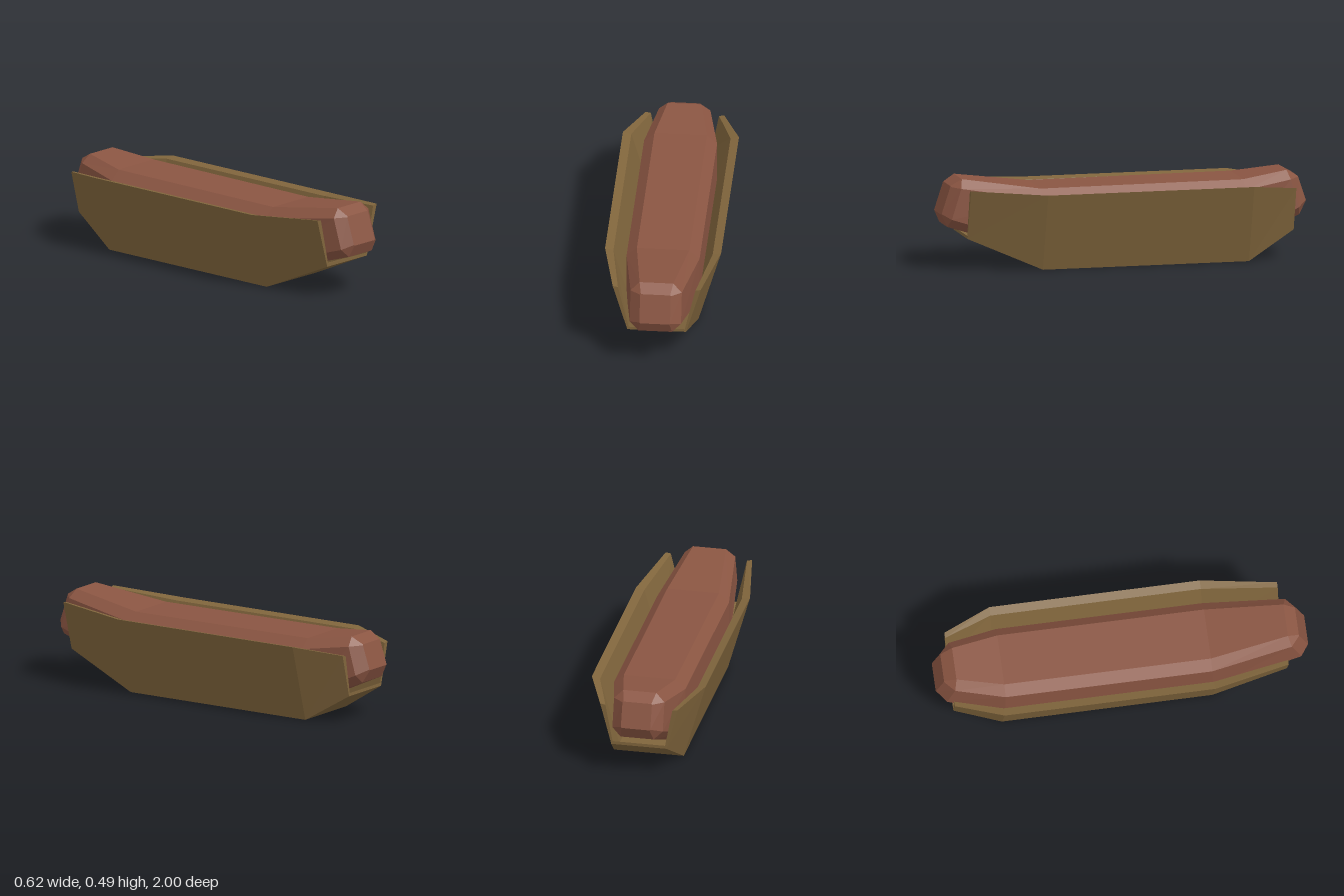
import * as THREE from 'three';

// Skins counter-clockwise sections ordered from front (+z) to back, and caps both ends.
function loft(name, rings, color) {
  const pos = [];
  const tri = (...pts) => pts.forEach((p) => pos.push(p.x, p.y, p.z));
  for (let i = 0; i < rings.length - 1; i++) {
    const n = rings[i].length;
    for (let j = 0; j < n; j++) {
      const k = (j + 1) % n;
      const a = rings[i][j], b = rings[i][k], c = rings[i + 1][k], d = rings[i + 1][j];
      tri(a, d, c);
      tri(a, c, b);
    }
  }
  const cap = (ring, back) => {
    const flat = ring.map((p) => new THREE.Vector2(p.x, p.y));
    for (const [a, b, c] of THREE.ShapeUtils.triangulateShape(flat, [])) {
      if (back) tri(ring[a], ring[c], ring[b]);
      else tri(ring[a], ring[b], ring[c]);
    }
  };
  cap(rings[0], false);
  cap(rings[rings.length - 1], true);
  const geo = new THREE.BufferGeometry();
  geo.setAttribute('position', new THREE.Float32BufferAttribute(pos, 3));
  geo.computeVertexNormals();
  const mesh = new THREE.Mesh(geo, new THREE.MeshStandardMaterial({ color, flatShading: true }));
  mesh.name = name;
  return mesh;
}

// U-shaped bun section: outer and inner corners as [x, y], mirrored across x.
function bunSection(z, outBottom, outTop, inTop, inBottom) {
  const v = ([x, y], s) => new THREE.Vector3(s * x, y, z);
  return [
    v(outTop, -1), v(outBottom, -1), v(outBottom, 1), v(outTop, 1),
    v(inTop, 1), v(inBottom, 1), v(inBottom, -1), v(inTop, -1),
  ];
}

// Bevelled rectangle, tilted so its top and bottom sit at different z.
function sausageSection(w, y0, y1, cx, cy, zBottom, zTop) {
  const right = [[w - cx, y0], [w, y0 + cy], [w, y1 - cy], [w - cx, y1]];
  const left = right.map(([x, y]) => [-x, y]).reverse();
  return [...right, ...left].map(([x, y]) =>
    new THREE.Vector3(x, y, THREE.MathUtils.mapLinear(y, y0, y1, zBottom, zTop)));
}

export function createModel() {
  const group = new THREE.Group();
  group.name = 'sausageInBun';

  // Open bun with tapered, upswept ends
  group.add(loft('bun', [
    bunSection(0.875, [0.157, 0.177], [0.235, 0.447], [0.207, 0.442], [0.15, 0.193]),
    bunSection(0.47, [0.19, 0], [0.31, 0.42], [0.265, 0.41], [0.16, 0.04]),
    bunSection(-0.66, [0.19, 0], [0.31, 0.42], [0.265, 0.41], [0.16, 0.04]),
    bunSection(-0.915, [0.15, 0.155], [0.21, 0.387], [0.182, 0.382], [0.143, 0.172]),
  ], 0x80653c));

  // Faceted sausage, curving up at both ends
  group.add(loft('sausage', [
    sausageSection(0.082, 0.3, 0.453, 0.004, 0.004, 1, 0.95),
    sausageSection(0.137, 0.235, 0.49, 0.047, 0.045, 0.97, 0.89),
    sausageSection(0.195, 0.08, 0.43, 0.055, 0.05, 0.47, 0.47),
    sausageSection(0.195, 0.08, 0.435, 0.055, 0.05, -0.64, -0.64),
    sausageSection(0.137, 0.225, 0.467, 0.047, 0.045, -0.96, -0.89),
    sausageSection(0.08, 0.295, 0.43, 0.004, 0.004, -1, -0.955),
  ], 0x8a5542));

  return group;
}
